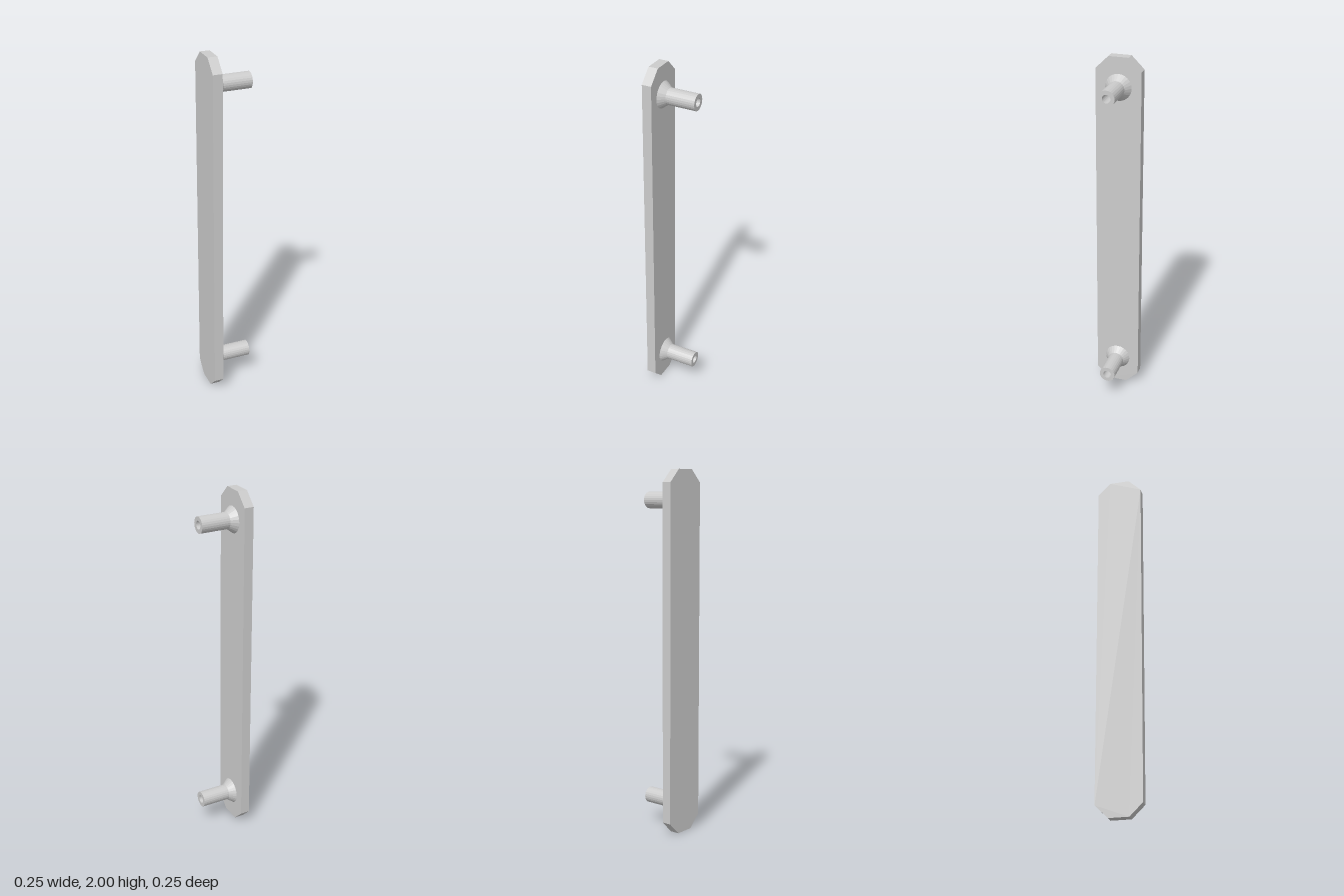
import * as THREE from 'three';

export function createModel() {
  const group = new THREE.Group();
  group.name = 'mountingBar';
  const material = new THREE.MeshStandardMaterial({ color: 0xcccccc, flatShading: true });

  // Long plate with chamfered corners, extruded through its thickness along x
  const back = -0.126, face = -0.073, half = 0.126, endHalf = 0.055, chamfer = 0.07;
  const outline = new THREE.Shape([
    [-endHalf, 0], [endHalf, 0], [half, chamfer], [half, 2 - chamfer],
    [endHalf, 2], [-endHalf, 2], [-half, 2 - chamfer], [-half, chamfer],
  ].map(([x, y]) => new THREE.Vector2(x, y)));
  const plateGeometry = new THREE.ExtrudeGeometry(outline, { depth: face - back, bevelEnabled: false });
  plateGeometry.rotateY(Math.PI / 2).translate(back, 0, 0);
  const plate = new THREE.Mesh(plateGeometry, material);
  plate.name = 'plate';
  group.add(plate);

  // Hollow post with a conical foot, turned about the x axis
  const profile = [
    [0.073, face], [0.045, -0.037], [0.045, 0.126],
    [0.023, 0.126], [0.023, -0.06], [0, -0.06],
  ].map(([r, h]) => new THREE.Vector2(r, h));
  const postGeometry = new THREE.LatheGeometry(profile, 24).rotateZ(-Math.PI / 2);
  for (const [name, y] of [['lowerPost', 0.163], ['upperPost', 1.837]]) {
    const post = new THREE.Mesh(postGeometry, material);
    post.name = name;
    post.position.y = y;
    group.add(post);
  }
  return group;
}
